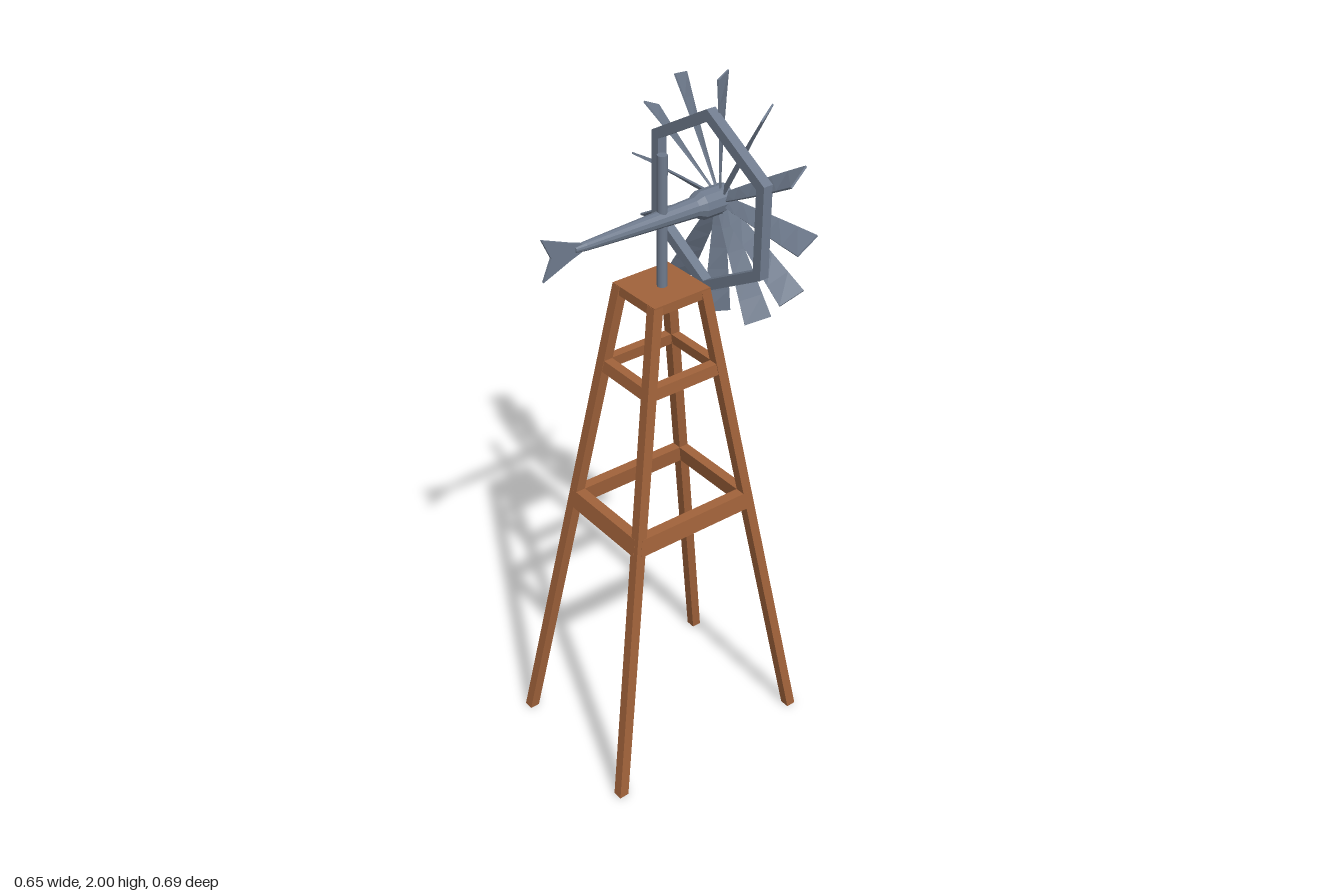
import * as THREE from 'three';

const wood = new THREE.MeshStandardMaterial({ color: 0xa0623a });
wood.name = 'brown wood';
const metal = new THREE.MeshStandardMaterial({ color: 0x6e7a8c });
metal.name = 'grey metal';

const AXLE_Y = 1.672, TOP = 1.485;

function part(name, geometry, material, parent) {
  const flat = geometry.index ? geometry.toNonIndexed() : geometry;
  flat.computeVertexNormals();
  const mesh = new THREE.Mesh(flat, material);
  mesh.name = name;
  parent.add(mesh);
  return mesh;
}

// Moves every vertex of a unit box by a rule
function shapedBox(rule, segments = 1) {
  const g = new THREE.BoxGeometry(1, 1, 1, 1, segments, 1);
  const p = g.attributes.position, v = new THREE.Vector3();
  for (let i = 0; i < p.count; i++) {
    rule(v.fromBufferAttribute(p, i));
    p.setXYZ(i, v.x, v.y, v.z);
  }
  return g;
}

// Leg centre lines, going around the tower: [foot x, foot z, top x, top z]
const legs = [
  [-0.248, 0.303, -0.077, 0.061],
  [0.215, 0.303, 0.067, 0.061],
  [0.237, -0.33, 0.067, -0.091],
  [-0.228, -0.33, -0.077, -0.091],
];
function legAt(i, y) {
  const [fx, fz, tx, tz] = legs[i % 4], t = y / TOP;
  return new THREE.Vector3(fx + (tx - fx) * t, y, fz + (tz - fz) * t);
}

function buildTower() {
  const tower = new THREE.Group();
  tower.name = 'tower';
  const legWidth = 0.029;
  for (let i = 0; i < 4; i++) {
    part('leg', shapedBox(v => {
      const c = legAt(i, (v.y + 0.5) * (TOP - 0.002));
      v.set(c.x + v.x * legWidth, c.y, c.z + v.z * legWidth);
    }), wood, tower);

    // Cross beams run from leg to leg and lean with them
    for (const [name, low, high, depth] of [['lowerBeam', 0.783, 0.835, 0.03], ['upperBeam', 1.23, 1.263, 0.026]]) {
      part(name, shapedBox(v => {
        const y = low + (v.y + 0.5) * (high - low);
        const a = legAt(i, y), b = legAt(i + 1, y);
        const dir = b.clone().sub(a).normalize();
        const out = v.z * depth;
        v.copy(a.lerp(b, v.x + 0.5));
        v.x -= dir.z * out;
        v.z += dir.x * out;
      }), wood, tower);
    }
  }
  const deck = part('platform', new THREE.BoxGeometry(0.174, 0.027, 0.18), wood, tower);
  deck.position.set(-0.005, TOP - 0.0135, -0.015);
  return tower;
}

function buildRotor() {
  const rotor = new THREE.Group();
  rotor.name = 'rotor';
  rotor.position.set(-0.001, AXLE_Y, 0);

  // Twelve tapered, twisted blades
  const inner = 0.012, outer = 0.327;
  for (let i = 0; i < 12; i++) {
    const blade = part('blade', shapedBox(v => {
      const t = v.y + 0.5;
      const chord = v.x * (0.026 + 0.046 * t), thick = v.z * 0.005;
      const pitch = THREE.MathUtils.degToRad(38 + 22 * t);
      v.set(
        chord * Math.cos(pitch) - thick * Math.sin(pitch),
        inner + (outer - inner) * t,
        chord * Math.sin(pitch) + thick * Math.cos(pitch));
    }, 5), metal, rotor);
    blade.position.z = -0.2;
    blade.rotation.z = i * Math.PI / 6;
  }

  // Six-sided ring behind the blades
  const hexagon = r => Array.from({ length: 6 }, (_, k) => {
    const a = Math.PI / 2 + k * Math.PI / 3;
    return new THREE.Vector2(r * Math.cos(a), r * Math.sin(a));
  });
  const shape = new THREE.Shape(hexagon(0.252));
  shape.holes.push(new THREE.Path(hexagon(0.22)));
  const ring = part('ring', new THREE.ExtrudeGeometry(shape, { depth: 0.028, bevelEnabled: false }), metal, rotor);
  ring.position.z = -0.178;
  return rotor;
}

function buildTail() {
  const tail = new THREE.Group();
  tail.name = 'tail';
  tail.position.x = -0.002;

  // Hub, collar and tapering boom turned as one piece along z
  const profile = [[0, -0.217], [0.038, -0.217], [0.038, -0.135], [0.027, -0.115], [0.012, 0.22], [0.008, 0.25], [0, 0.25]]
    .map(([r, z]) => new THREE.Vector2(r, z));
  const boom = part('boom', new THREE.LatheGeometry(profile, 12).rotateX(Math.PI / 2), metal, tail);
  boom.position.y = AXLE_Y;

  // Notched fin in the z-y plane
  const fin = new THREE.Shape([[0.23, -0.011], [0.262, -0.022], [0.345, -0.057], [0.32, 0], [0.345, 0.055], [0.262, 0.022], [0.23, 0.011]]
    .map(([z, y]) => new THREE.Vector2(z, y)));
  const finMesh = part('tailFin', new THREE.ExtrudeGeometry(fin, { depth: 0.007, bevelEnabled: false })
    .translate(0, 0, -0.0035).rotateY(-Math.PI / 2), metal, tail);
  finMesh.position.y = AXLE_Y;
  return tail;
}

export function createModel() {
  const model = new THREE.Group();
  model.name = 'windPump';
  model.add(buildTower(), buildRotor(), buildTail());

  // Upright post through the boom
  const post = part('post', new THREE.CylinderGeometry(0.0135, 0.0135, 0.37, 16), metal, model);
  post.position.set(-0.001, 1.658, -0.014);
  return model;
}
